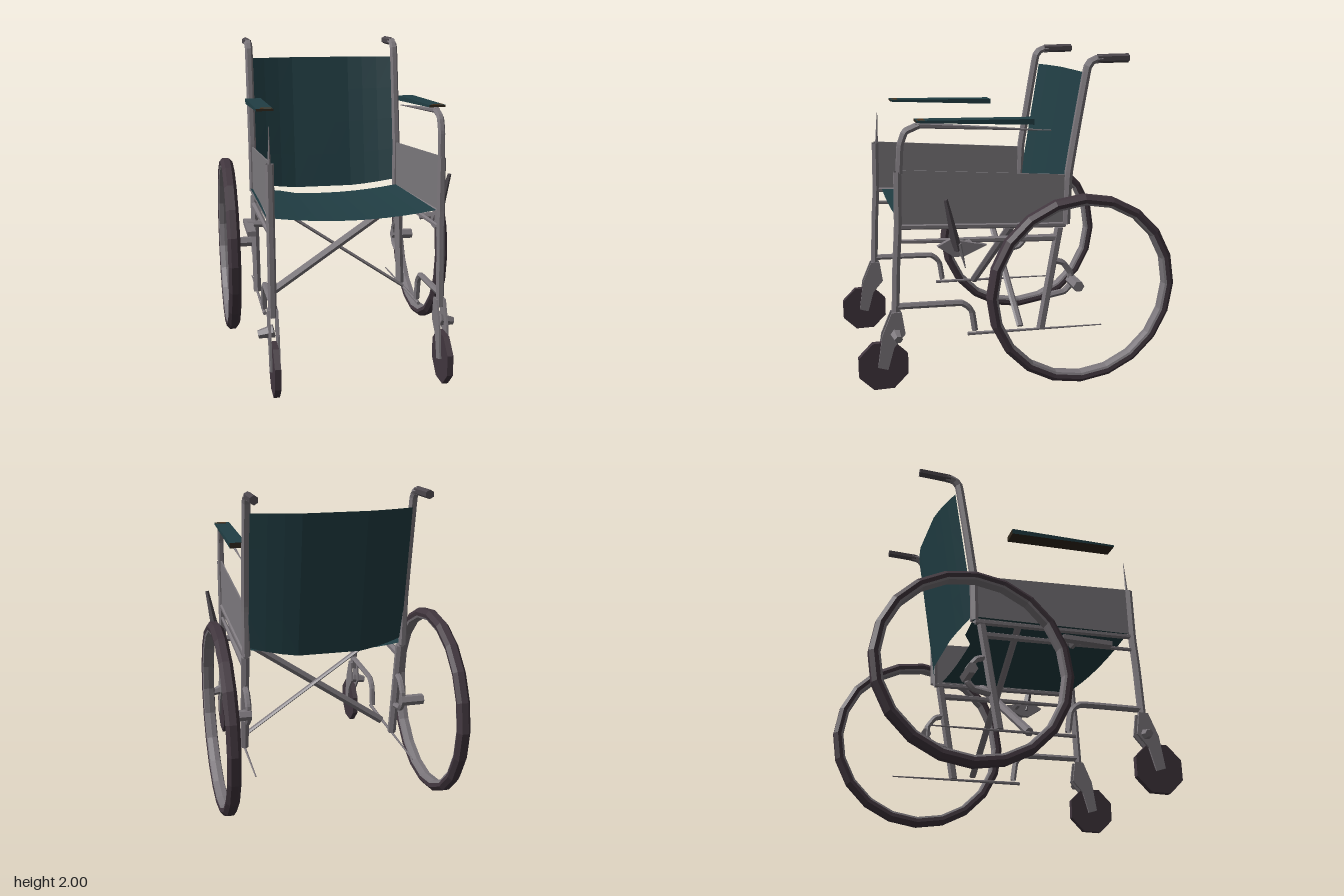
import * as THREE from 'three';

const mat = (name, color) => {
  const m = new THREE.MeshStandardMaterial({ color, flatShading: true, side: THREE.DoubleSide });
  m.name = name;
  return m;
};

export function createModel() {
  const frame = mat('frame grey', 0x7c777c);
  const panelGrey = mat('panel grey', 0x7b787c);
  const teal = mat('teal upholstery', 0x213e44);
  const rubber = mat('dark rubber', 0x41363e);
  const grip = mat('grip grey', 0x4c474c);
  const brown = mat('pad base brown', 0x30271c);
  const rust = mat('pad corner brown', 0x4f3722);

  const root = new THREE.Group();
  root.name = 'wheelchair';
  const V = (x, y, z) => new THREE.Vector3(x, y, z);
  const add = (parent, name, geo, material) => {
    const mesh = new THREE.Mesh(geo, material);
    mesh.name = name;
    parent.add(mesh);
    return mesh;
  };
  // straight bar between two points, optionally tapered
  const bar = (parent, name, a, b, r0, r1 = r0, material = frame, sides = 6) => {
    const mesh = add(parent, name, new THREE.CylinderGeometry(r1, r0, a.distanceTo(b), sides), material);
    mesh.position.copy(a).add(b).multiplyScalar(0.5);
    mesh.quaternion.setFromUnitVectors(V(0, 1, 0), b.clone().sub(a).normalize());
    return mesh;
  };
  // bent tube lying in a side plane, points are [z, y]
  const bent = (parent, name, x, pts, r) => {
    const curve = new THREE.CatmullRomCurve3(pts.map(([z, y]) => V(x, y, z)), false, 'catmullrom', 0.15);
    return add(parent, name, new THREE.TubeGeometry(curve, pts.length * 5, r, 6), frame);
  };
  // flat plate lying in a side plane, points are [z, y]
  const plate = (parent, name, x, pts, depth, material) => {
    const shape = new THREE.Shape(pts.map(([z, y]) => new THREE.Vector2(z, y)));
    const geo = new THREE.ExtrudeGeometry(shape, { depth, bevelEnabled: false });
    geo.rotateY(-Math.PI / 2).translate(x + depth / 2, 0, 0);
    return add(parent, name, geo, material);
  };
  // cloth sheet from a rule f(u, v) -> point
  const sheet = (name, nu, nv, f) => {
    const geo = new THREE.PlaneGeometry(1, 1, nu, nv);
    const p = geo.attributes.position;
    for (let i = 0; i < p.count; i++) {
      const q = f(p.getX(i) + 0.5, p.getY(i) + 0.5);
      p.setXYZ(i, q.x, q.y, q.z);
    }
    geo.computeVertexNormals();
    return add(root, name, geo, teal);
  };
  const lerp = THREE.MathUtils.lerp;

  // sagging seat, with one rear corner reaching further back
  sheet('seat', 10, 4, (u, v) => {
    const x = lerp(-0.525, 0.49, u);
    const bow = 1 - (2 * u - 1) ** 2;
    const back = x < -0.28 ? -0.33 : -0.27;
    return V(x, lerp(1.03, 0.99, v) - 0.04 * bow, lerp(0.675, back, v));
  });

  // backrest curving rearward
  sheet('backrest', 10, 4, (u, v) => {
    const bow = Math.min(1, 1.2 * (1 - (2 * u - 1) ** 2));
    return V(lerp(-0.495, 0.49, u), lerp(1.02 - 0.05 * bow, 1.865, v),
      lerp(-0.325, -0.46, v) - 0.07 * bow);
  });

  // crossed folding braces
  bar(root, 'thickBrace', V(0.49, 0.98, 0.02), V(-0.49, 0.31, 0.02), 0.027);
  bar(root, 'thinBrace', V(-0.49, 0.99, -0.04), V(0.49, 0.32, -0.04), 0.011).scale.z = 2;

  for (const s of [1, -1]) {
    const side = new THREE.Group();
    side.name = s > 0 ? 'leftSide' : 'rightSide';
    root.add(side);
    const x = s * 0.505;

    // large wheel: tyre with a grey inner rim
    const R = (r, w) => new THREE.Vector2(r, w);
    const tyre = new THREE.LatheGeometry(
      [R(0.548, -0.037), R(0.572, -0.041), R(0.597, -0.02), R(0.597, 0.02), R(0.572, 0.041), R(0.548, 0.037)], 20);
    const rim = new THREE.LatheGeometry([R(0.548, 0.037), R(0.535, 0.032), R(0.53, 0), R(0.535, -0.032), R(0.548, -0.037)], 20);
    for (const [name, geo, m] of [['tyre', tyre, rubber], ['wheelRim', rim, frame]]) {
      geo.rotateZ(Math.PI / 2).translate(s > 0 ? 0.686 : -0.68, 0.597, -0.372);
      add(side, name, geo, m);
    }
    bar(side, 'axle', V(s * 0.49, 0.6, -0.37), V(s * 0.64, 0.6, -0.37), 0.035);
    bent(side, 'axleBracket', x, [[-0.25, 0.74], [-0.31, 0.72], [-0.36, 0.65], [-0.36, 0.57], [-0.32, 0.53], [-0.2, 0.51]], 0.02);

    // back post and push handle
    bent(side, 'backPost', x, [[-0.325, 0.97], [-0.335, 1.28], [-0.385, 1.6], [-0.44, 1.92], [-0.475, 1.965], [-0.53, 1.97]], 0.026);
    bar(side, 'handGrip', V(x, 1.97, -0.5), V(x, 1.972, -0.7), 0.027, 0.027, grip);

    // frame tubes
    bent(side, 'frontPost', x, [[0.71, 1.35], [0.715, 1.02], [0.73, 0.8], [0.745, 0.45]], 0.025);
    bar(side, 'seatRail', V(x, 1.02, 0.7), V(x, 0.965, -0.32), 0.018);
    bar(side, 'middleRail', V(x, 0.93, 0.7), V(x, 0.885, -0.28), 0.012, 0.024);
    bar(side, 'rearStrut', V(x, 0.95, -0.28), V(x, 0.3, -0.17), 0.028);
    bent(side, 'lowerRail', x, [[0.73, 0.53], [0.34, 0.515], [0.275, 0.46], [0.255, 0.33]], 0.02);
    bar(side, 'bottomRod', V(x, 0.31, 0.3), V(x, 0.28, -0.58), 0.012, 0.004);

    // side panel
    plate(side, 'sidePanel', x, [[0.72, 1.36], [-0.31, 1.28], [-0.31, 0.97], [0.72, 1.03]], 0.009, panelGrey);

    // armrest tube, a mere sliver on the right-hand side
    if (s > 0) {
      bent(side, 'armrestBend', x, [[0.7, 1.34], [0.69, 1.5], [0.66, 1.58], [0.58, 1.615]], 0.022);
      bar(side, 'armrestTube', V(x, 1.615, 0.6), V(x, 1.553, -0.22), 0.018, 0.003);
    } else {
      bar(side, 'armrestSliver', V(x, 1.34, 0.7), V(x, 1.56, 0.69), 0.01, 0.002);
    }

    // wedge armrest pad with a brown underside and front corner patch
    const padX = s > 0 ? 0.505 : -0.515;
    const padGeo = new THREE.BoxGeometry(0.1, 1, 0.7);
    const p = padGeo.attributes.position;
    for (let i = 0; i < p.count; i++) {
      const front = p.getZ(i) > 0, top = p.getY(i) > 0;
      p.setY(i, front ? (top ? 1.647 : 1.634) : (top ? 1.632 : 1.598));
      p.setZ(i, front ? 0.6 : -0.1);
    }
    padGeo.translate(padX, 0, 0);
    padGeo.computeVertexNormals();
    add(side, 'armrestPad', padGeo, [teal, teal, teal, brown, brown, brown]);
    const patch = add(side, 'padCorner', new THREE.BoxGeometry(0.07, 0.004, 0.04), rust);
    patch.position.set(padX + 0.01, 1.646, 0.57);

    // brake: stub, plate and (on the left) its lever
    bar(side, 'brakeStub', V(s * 0.5, 0.9, 0.3), V(s * 0.6, 0.9, 0.3), 0.022);
    if (s > 0) {
      plate(side, 'brakePlate', 0.585, [[0.5, 0.91], [0.42, 0.95], [0.3, 0.92], [0.2, 0.9], [0.34, 0.84], [0.4, 0.84]], 0.03, frame);
      bar(side, 'brakeLever', V(0.59, 0.88, 0.38), V(0.64, 1.2, 0.455), 0.03, 0.012, grip, 4);
      bar(side, 'brakeTip', V(0.6, 0.92, 0.37), V(0.605, 0.77, 0.335), 0.015, 0.003);
    } else {
      const arm = add(side, 'brakePlate', new THREE.BoxGeometry(0.05, 0.03, 0.32), frame);
      arm.position.set(-0.595, 0.895, 0.36);
    }

    // front caster with fork plates
    const caster = new THREE.CylinderGeometry(0.161, 0.161, 0.036, 8);
    caster.rotateX(0).rotateY(Math.PI / 8).rotateZ(Math.PI / 2).translate(x, 0.162, 0.825);
    add(side, 'casterWheel', caster, rubber);
    for (const o of [-0.024, 0.024]) {
      plate(side, 'casterFork', x + o, [[0.77, 0.5], [0.71, 0.5], [0.69, 0.36], [0.76, 0.28], [0.8, 0.14], [0.86, 0.16], [0.83, 0.36]], 0.012, frame);
    }
    bar(side, 'casterPin', V(s * 0.5, 0.37, 0.75), V(s * 0.59, 0.35, 0.74), 0.04, 0.025);
  }
  return root;
}
